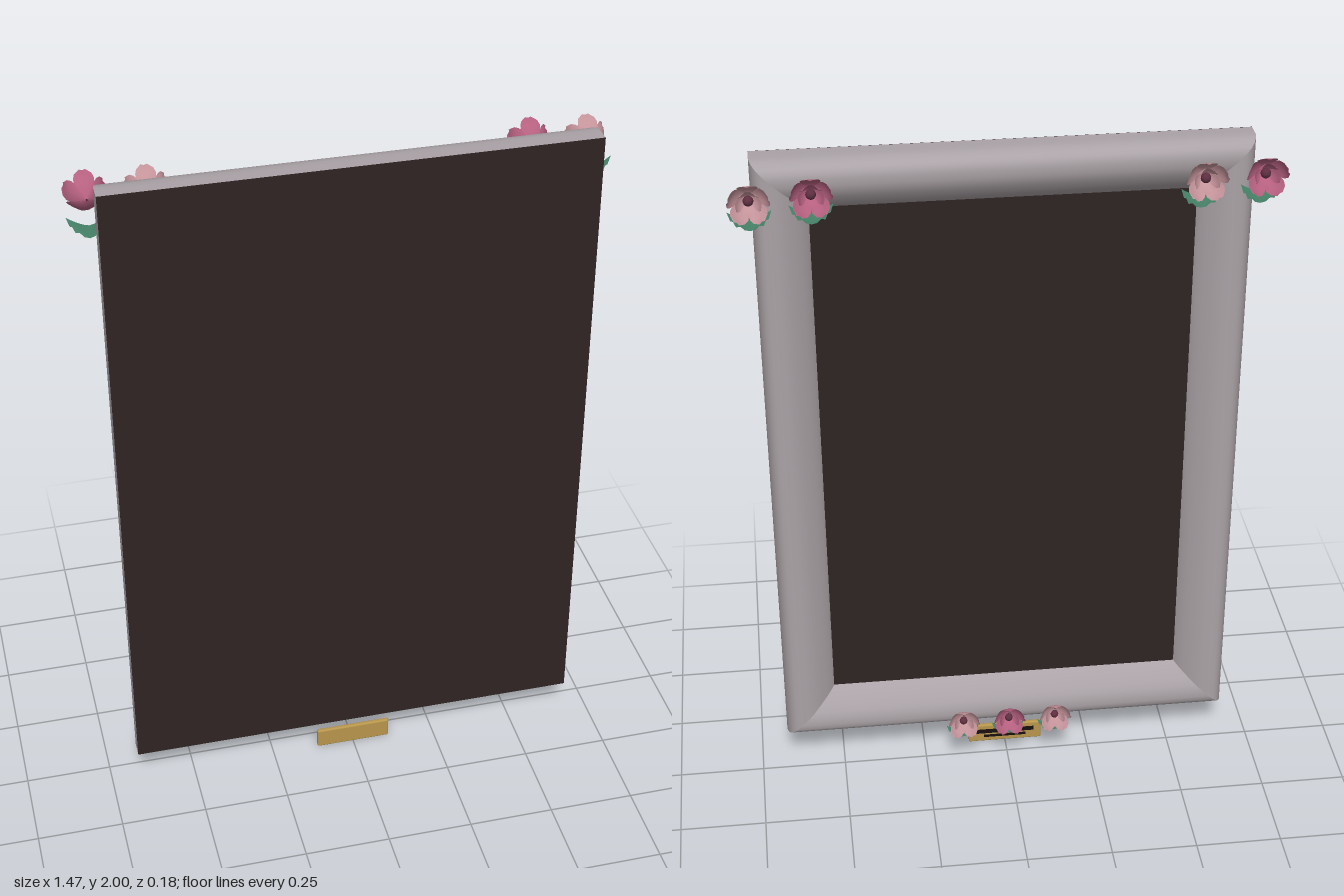
import * as THREE from 'three';
import { RoundedBoxGeometry } from 'three/addons/geometries/RoundedBoxGeometry.js';

const mat = (name, color, double) => {
  const m = new THREE.MeshStandardMaterial({ color });
  m.name = name;
  if (double) m.side = THREE.DoubleSide;
  return m;
};

const W = 0.67, H = 0.942, CY = 1.058; // frame half width, half height, centre height

// Moulding cross-section: distance inward from the outer edge, then z
const PROFILE = [
  [0, 0.09], [0, 0.065], [0, 0.042], [0.003, 0.025], [0.009, 0.01], [0.018, -0.002], [0.03, -0.009],
  [0.045, -0.011], [0.065, -0.01], [0.085, -0.004], [0.105, 0.008], [0.125, 0.022], [0.142, 0.038], [0.15, 0.05],
];

// One mitred rail, running along x below the centre
function railGeometry(a, b) {
  const pos = [], idx = [];
  PROFILE.forEach(([d, z], j) => {
    pos.push(-(a - d), -(b - d), z, a - d, -(b - d), z);
    if (j < PROFILE.length - 1) {
      const k = 2 * j;
      idx.push(k, k + 2, k + 1, k + 1, k + 2, k + 3);
    }
  });
  const g = new THREE.BufferGeometry();
  g.setAttribute('position', new THREE.Float32BufferAttribute(pos, 3));
  g.setIndex(idx);
  g.computeVertexNormals();
  return g;
}

// Cupped petal around +z: narrow base, wide middle, pointed tip
function petalGeometry(radius, depth, halfAngle) {
  const g = new THREE.PlaneGeometry(2, 1, 6, 6);
  const p = g.attributes.position;
  for (let i = 0; i < p.count; i++) {
    const u = p.getX(i), v = p.getY(i) + 0.5;
    const spread = halfAngle * (1 - 0.8 * Math.pow(v, 4));
    const r = radius * (0.08 + 0.92 * Math.sin(v * Math.PI * 0.5)) * (1 + 0.06 * u * u);
    const ang = u * spread;
    p.setXYZ(i, Math.cos(ang) * r, Math.sin(ang) * r, depth * Math.pow(v, 1.25));
  }
  g.computeVertexNormals();
  return g;
}

// Leaf curving out and up from under the bloom
function leafGeometry() {
  const s = new THREE.Shape();
  s.moveTo(0, -0.066);
  s.quadraticCurveTo(0.03, -0.062, 0.058, -0.042);
  s.lineTo(0.05, -0.068);
  s.lineTo(0.043, -0.071);
  s.lineTo(0.036, -0.088);
  s.lineTo(0.025, -0.088);
  s.lineTo(0.014, -0.1);
  s.lineTo(0, -0.104);
  const g = new THREE.ShapeGeometry(s, 5);
  const p = g.attributes.position;
  for (let i = 0; i < p.count; i++) p.setZ(i, 0.005 * Math.cos(p.getX(i) * 55));
  g.computeVertexNormals();
  return g;
}

export function createModel() {
  const model = new THREE.Group();
  model.name = 'pictureFrame';

  const silver = mat('silver lilac', 0xaaa2a6, true);
  const dark = mat('dark brown', 0x2e2423);
  const rose = mat('rose pink', 0xb5607f, true);
  const blush = mat('blush pink', 0xc4939a, true);
  const plum = mat('plum centre', 0x5e2f40);
  const green = mat('leaf green', 0x4f9074, true);
  const gold = mat('gold', 0xb8964c);
  const ink = mat('engraving black', 0x17110d);

  const add = (parent, name, geo, material, x = 0, y = 0, z = 0) => {
    const m = new THREE.Mesh(geo, material);
    m.name = name;
    m.position.set(x, y, z);
    parent.add(m);
    return m;
  };

  // Moulding: four mitred rails
  const moulding = new THREE.Group();
  moulding.name = 'moulding';
  moulding.position.y = CY;
  model.add(moulding);
  ['bottomRail', 'leftRail', 'topRail', 'rightRail'].forEach((name, i) => {
    const geo = i % 2 ? railGeometry(H, W) : railGeometry(W, H);
    add(moulding, name, geo, silver).rotation.z = (i * Math.PI) / 2;
  });

  // Full backing sheet and the picture panel inside the opening
  add(model, 'backingSheet', new THREE.BoxGeometry(2 * W, 2 * H, 0.003), dark, 0, CY, 0.0895);
  add(model, 'picturePanel', new THREE.BoxGeometry(2 * W - 0.29, 2 * H - 0.29, 0.006), dark, 0, CY, 0.052);

  // Flowers
  const outerPetal = petalGeometry(0.054, 0.06, 0.68);
  const innerPetal = petalGeometry(0.033, 0.055, 0.62);
  const core = new THREE.SphereGeometry(0.014, 12, 8);
  const leaf = leafGeometry();
  const flower = (name, x, y, size, petalMat) => {
    const f = new THREE.Group();
    f.name = name;
    f.position.set(x, y, -0.02);
    f.scale.setScalar(size);
    const bloom = new THREE.Group();
    bloom.name = 'bloom';
    bloom.rotation.y = Math.PI;
    bloom.position.z = -0.01;
    f.add(bloom);
    for (let i = 0; i < 5; i++) {
      const a = Math.PI / 2 + (i * Math.PI * 2) / 5;
      add(bloom, 'outerPetal', outerPetal, petalMat).rotation.z = a;
      add(bloom, 'innerPetal', innerPetal, petalMat).rotation.z = a + Math.PI / 5;
    }
    add(bloom, 'flowerCentre', core, plum, 0, 0, 0.024);
    for (const s of [1, -1]) add(f, 'leaf', leaf, green).scale.x = s;
    model.add(f);
  };
  flower('topRightOuterFlower', -0.68, 1.93, 1, rose);
  flower('topRightInnerFlower', -0.52, 1.925, 1, blush);
  flower('topLeftInnerFlower', 0.515, 1.935, 1, rose);
  flower('topLeftOuterFlower', 0.676, 1.925, 1, blush);
  flower('bottomRightFlower', -0.14, 0.168, 0.85, blush);
  flower('bottomMiddleFlower', 0, 0.168, 0.85, rose);
  flower('bottomLeftFlower', 0.138, 0.168, 0.85, blush);

  // Name plate with plain engraved bars
  add(model, 'namePlate', new RoundedBoxGeometry(0.225, 0.062, 0.014, 3, 0.005), gold, 0, 0.031, 0.058);
  add(model, 'engravedBar', new THREE.BoxGeometry(0.18, 0.014, 0.003), ink, 0, 0.039, 0.0505);
  add(model, 'engravedBar', new THREE.BoxGeometry(0.13, 0.008, 0.003), ink, 0, 0.021, 0.0505);

  return model;
}
